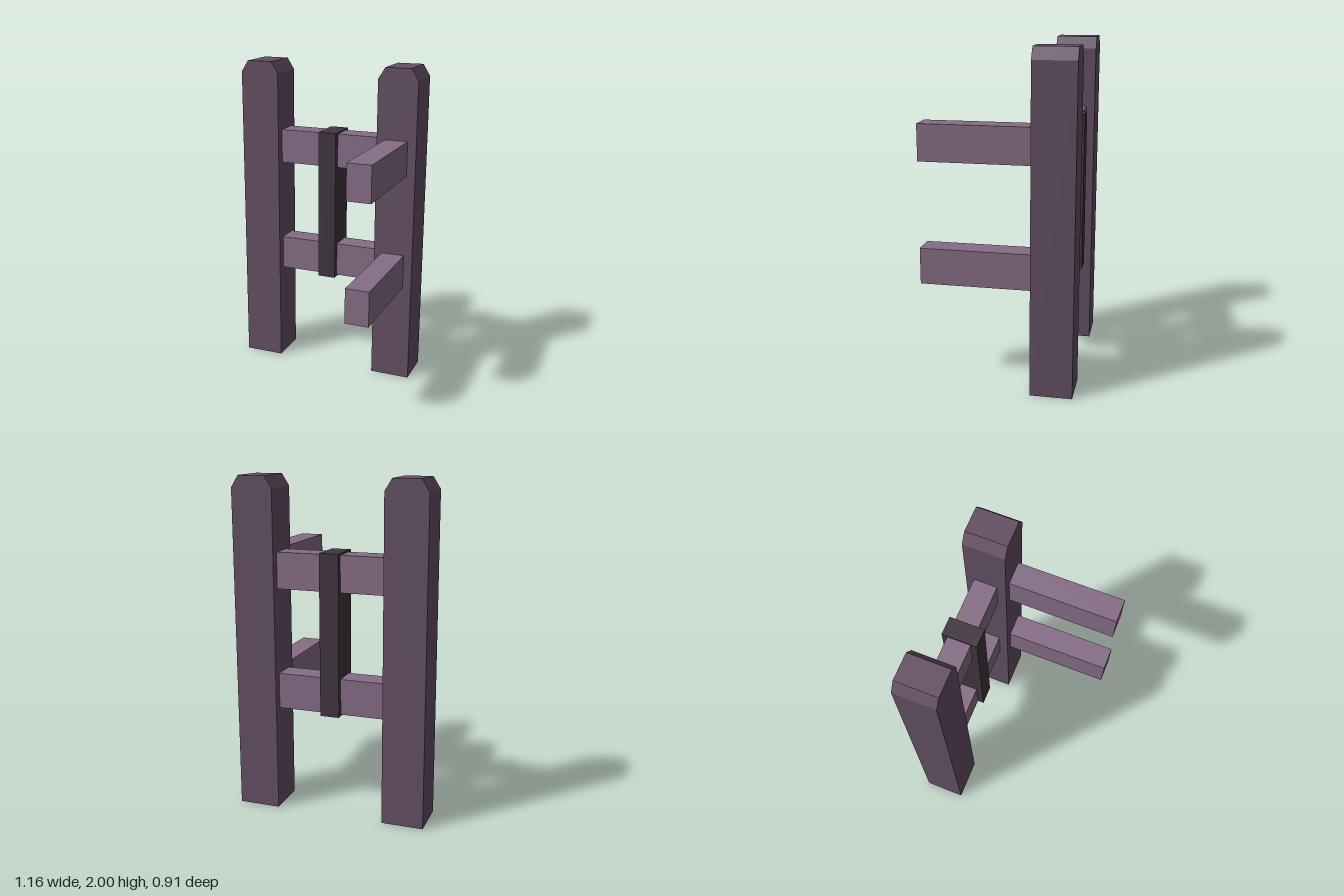
import * as THREE from 'three';

const material = (name, color) => {
  const m = new THREE.MeshStandardMaterial({ color });
  m.name = name;
  return m;
};

export function createModel() {
  const postWood = material('dark post wood', 0x645064);
  const railWood = material('light rail wood', 0x876e87);
  const braceWood = material('deep brace wood', 0x42363f);

  const group = new THREE.Group();
  group.name = 'fenceCorner';

  const add = (name, geometry, mat, x, y, z) => {
    const mesh = new THREE.Mesh(geometry, mat);
    mesh.name = name;
    mesh.position.set(x, y, z);
    group.add(mesh);
  };

  // Square posts with the two side edges of the top cut off
  const half = 0.125, topHalf = 0.081, shoulder = 1.93, depth = 0.25;
  const outline = new THREE.Shape([
    [-half, 0], [half, 0], [half, shoulder],
    [topHalf, 2], [-topHalf, 2], [-half, shoulder],
  ].map(([x, y]) => new THREE.Vector2(x, y)));
  const post = new THREE.ExtrudeGeometry(outline, { depth, bevelEnabled: false });
  add('leftPost', post, postWood, 0.455, 0, -0.453);
  add('rightPost', post, postWood, -0.455, 0, -0.453);

  // Two rails between the posts, and two reaching forward from the left post
  const crossRail = new THREE.BoxGeometry(0.68, 0.215, 0.143);
  const frontRail = new THREE.BoxGeometry(0.145, 0.215, 0.673);
  [['lower', 0.732], ['upper', 1.458]].forEach(([level, y]) => {
    add(level + 'CrossRail', crossRail, railWood, 0, y, -0.33);
    add(level + 'FrontRail', frontRail, railWood, 0.453, y, 0.1165);
  });

  // Upright brace joining the cross rails
  add('brace', new THREE.BoxGeometry(0.115, 0.96, 0.215), braceWood, -0.002, 1.095, -0.328);

  return group;
}
